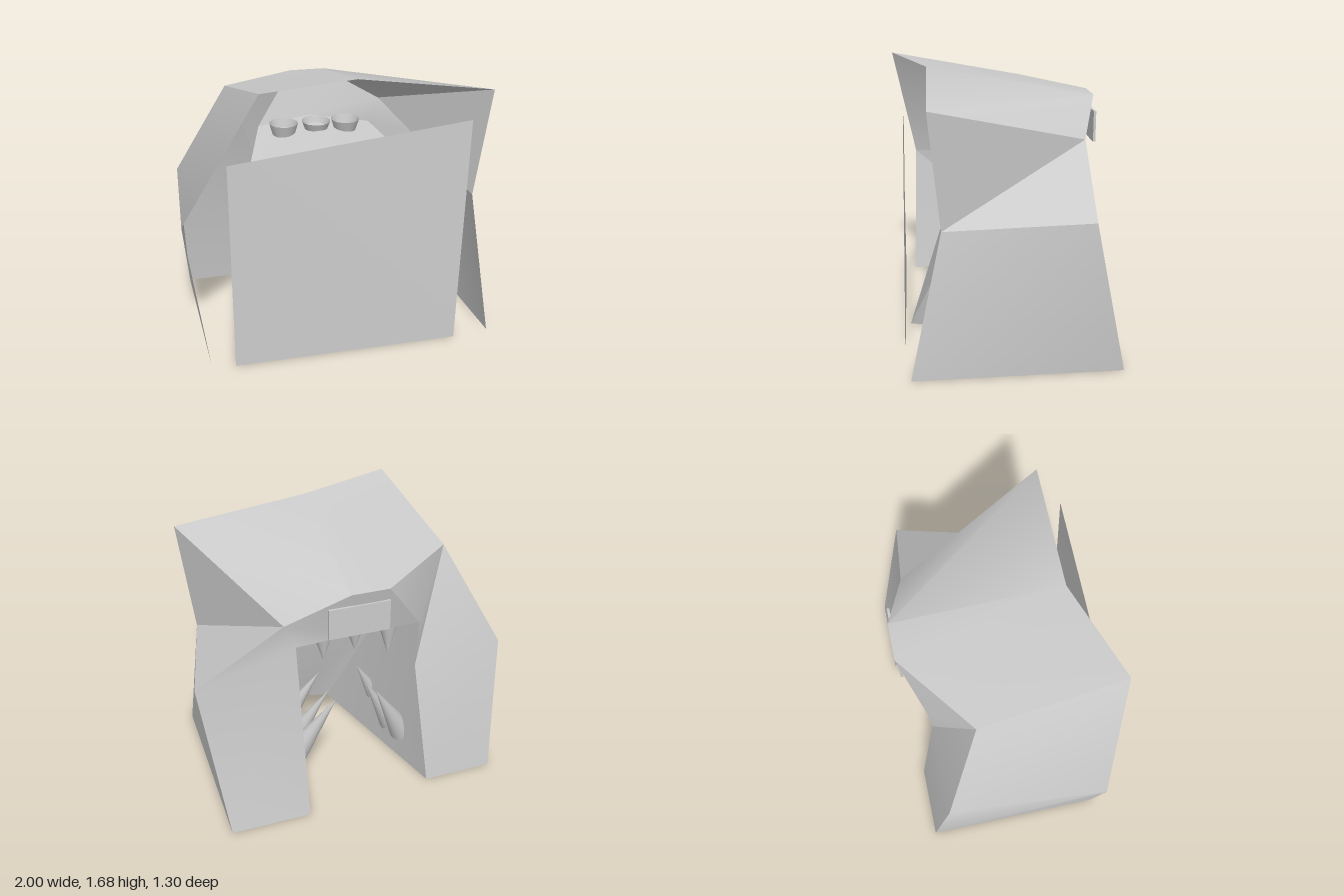
import * as THREE from 'three';
import { toCreasedNormals } from 'three/addons/utils/BufferGeometryUtils.js';

const material = new THREE.MeshStandardMaterial({ color: 0xcccccc, side: THREE.DoubleSide });

// Skin between two matching rows of points; merged points give no triangle.
function loft(a, b, crease = 0.6) {
  const pos = [];
  const tri = (p, q, r) => {
    if (p !== q && q !== r && p !== r) pos.push(...p, ...q, ...r);
  };
  for (let i = 0; i < a.length - 1; i++) {
    tri(a[i], b[i + 1], b[i]);
    tri(a[i], a[i + 1], b[i + 1]);
  }
  const g = new THREE.BufferGeometry();
  g.setAttribute('position', new THREE.Float32BufferAttribute(pos, 3));
  return toCreasedNormals(g, crease);
}

// Open-based cone running from its base centre to its tip.
function fang(base, tip, radius) {
  const from = new THREE.Vector3(...base);
  const dir = new THREE.Vector3(...tip).sub(from);
  const g = new THREE.ConeGeometry(radius, dir.length(), 16, 1, true);
  g.translate(0, dir.length() / 2, 0);
  g.applyQuaternion(new THREE.Quaternion().setFromUnitVectors(
    new THREE.Vector3(0, 1, 0), dir.normalize()));
  g.translate(...base);
  return g;
}

export function createModel() {
  const model = new THREE.Group();
  const add = (name, geometry, parent = model) => {
    const mesh = new THREE.Mesh(geometry, material);
    mesh.name = name;
    parent.add(mesh);
    return mesh;
  };

  // Rims of the crooked hut, each going from +x ground over the top to -x ground
  const peak = [0.05, 1.67, 0.44];
  const frontRim = [
    [0.89, 0, 0.59], [0.82, 0.87, 0.40], [0.89, 1.56, 0.47], peak, peak,
    [-0.56, 1.68, 0.65], [-1, 0.89, 0.50], [-0.88, 0, 0.53],
  ];
  const backRim = [
    [0.89, 0, -0.65], [1, 0.95, -0.44], [0.47, 1.29, -0.47], [0.11, 1.49, -0.59],
    [-0.12, 1.49, -0.59], [-0.62, 1.51, -0.22], [-0.93, 0.90, -0.46], [-0.88, 0, -0.59],
  ];
  add('outerShell', loft(frontRim, backRim));

  // Back wall around the mouth-shaped doorway
  const corner = [0.40, 1.13, -0.46], lintel = [0, 1.19, -0.52];
  const mouthRim = [
    [0.39, 0, -0.65], corner, corner, lintel, lintel,
    [-0.37, 1.15, -0.47], [-0.36, 0.84, -0.46], [-0.43, 0, -0.59],
  ];
  add('backWall', loft(backRim, mouthRim));

  // Throat narrowing towards the front, closed at its end
  const throatTop = [0.50, 1.03, 0.15], throatMid = [0, 1.12, 0.15];
  const throatEnd = [
    [0.12, 0, 0.58], throatTop, throatTop, throatMid, throatMid,
    [-0.55, 1.05, 0.15], [-0.36, 0.66, 0.29], [-0.12, 0, 0.52],
  ];
  add('throat', loft(mouthRim, throatEnd, 1.2));
  add('throatEnd', loft(
    [throatEnd[0], throatTop, throatMid],
    [throatEnd[7], throatEnd[5], throatMid]));

  // Upper fangs hanging from the throat ceiling
  const upper = new THREE.Group();
  upper.name = 'upperFangs';
  model.add(upper);
  for (const [x, tipY] of [[0.19, 0.91], [-0.01, 0.95], [-0.23, 0.87]])
    add('upperFang', fang([x, 1.21, -0.31], [x, tipY, -0.33], 0.095), upper);

  // Lower fangs leaning inward from both side walls
  const lower = new THREE.Group();
  lower.name = 'lowerFangs';
  model.add(lower);
  for (const side of [1, -1])
    for (const [y, z] of [[0.20, -0.28], [0.14, -0.11], [0.17, 0.07]])
      add('lowerFang', fang([side * 0.37, y, z], [side * 0.13, y + 0.46, z - 0.12], 0.08), lower);

  // Blank board over the doorway
  const board = add('doorBoard', new THREE.BoxGeometry(0.37, 0.19, 0.015));
  board.position.set(0.055, 1.315, -0.575);

  // Large loose panel leaning across the front
  add('frontPanel', loft(
    [[0.65, 0, 0.62], [0.71, 1.42, 0.585]],
    [[-0.74, 0, 0.60], [-0.74, 1.27, 0.59]]));

  return model;
}
